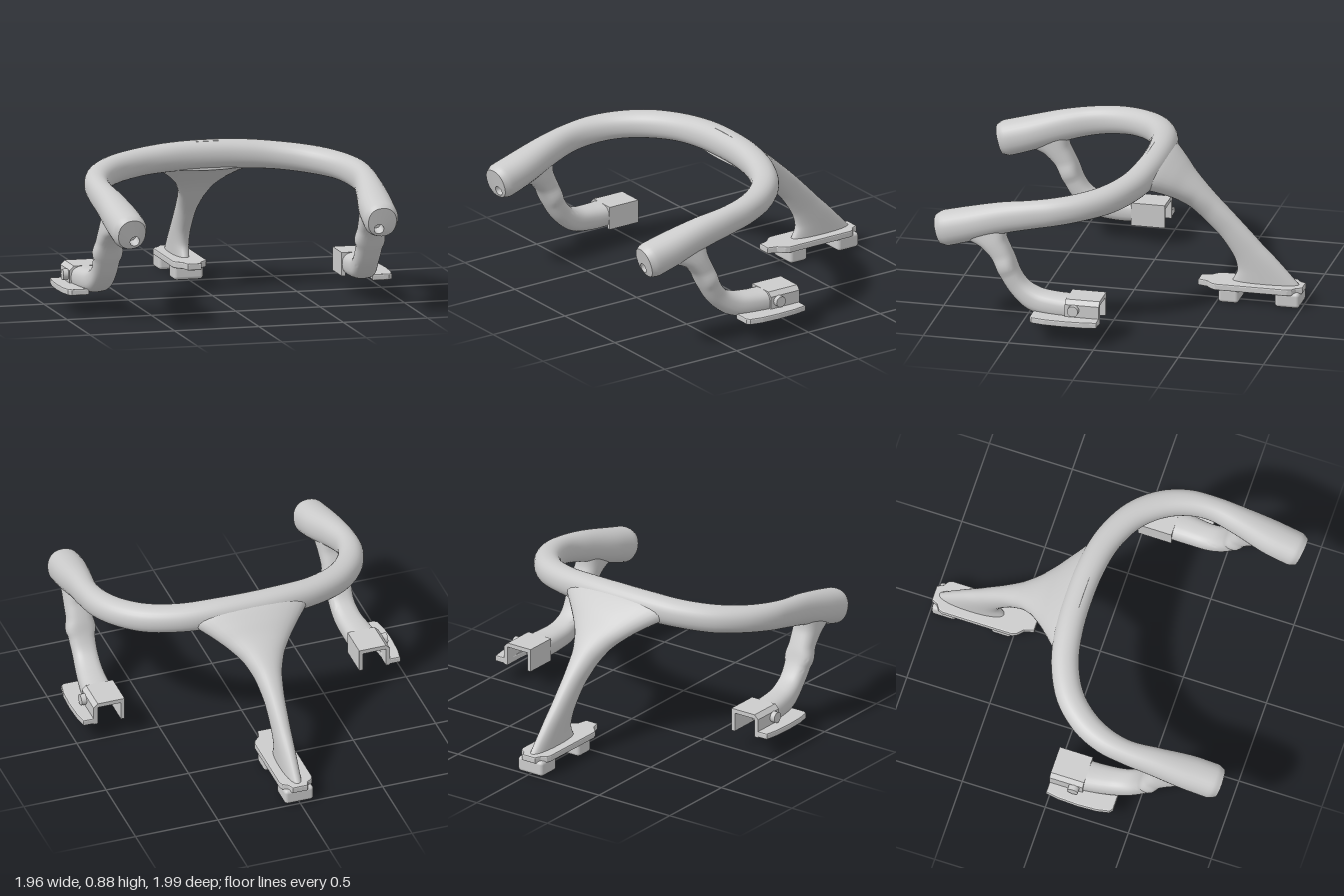
import * as THREE from 'three';
import { toCreasedNormals } from 'three/addons/utils/BufferGeometryUtils.js';
import { RoundedBoxGeometry } from 'three/addons/geometries/RoundedBoxGeometry.js';

const V = (x, y, z) => new THREE.Vector3(x, y, z);
const material = new THREE.MeshStandardMaterial({ color: 0xcccccc });

function part(name, geometry, x = 0, y = 0, z = 0) {
  const mesh = new THREE.Mesh(geometry, material);
  mesh.name = name;
  mesh.position.set(x, y, z);
  return mesh;
}

// Interpolates key sections { c: centre, u: half width vector, v: half height vector }
function smooth(sections, count) {
  const curve = (key) => new THREE.CatmullRomCurve3(sections.map((s) => s[key]));
  const c = curve('c'), u = curve('u'), v = curve('v');
  return Array.from({ length: count + 1 }, (_, i) => {
    const t = i / count;
    return { c: c.getPoint(t), u: u.getPoint(t), v: v.getPoint(t) };
  });
}

// Skins a list of sections with rounded outlines and closes both ends
function loft(rings, power = 0.9, sides = 28) {
  const points = [], index = [];
  for (const { c, u, v } of rings) {
    for (let i = 0; i < sides; i++) {
      const a = (i / sides) * Math.PI * 2, p = Math.cos(a), q = Math.sin(a);
      points.push(c.clone()
        .addScaledVector(u, Math.sign(p) * Math.abs(p) ** power)
        .addScaledVector(v, Math.sign(q) * Math.abs(q) ** power));
    }
  }
  const last = (rings.length - 1) * sides;
  const start = points.push(rings[0].c) - 1, end = points.push(rings.at(-1).c) - 1;
  for (let i = 0; i < sides; i++) {
    const j = (i + 1) % sides;
    for (let r = 0; r < last; r += sides) {
      index.push(r + i, r + j, r + sides + i, r + j, r + sides + j, r + sides + i);
    }
    index.push(start, j, i, end, last + i, last + j);
  }
  // Turn the faces outward if the skin came out inside out
  let volume = 0;
  for (let k = 0; k < index.length; k += 3) {
    volume += points[index[k]].dot(points[index[k + 1]].clone().cross(points[index[k + 2]]));
  }
  if (volume < 0) index.reverse();
  const geometry = new THREE.BufferGeometry().setFromPoints(points);
  geometry.setIndex(index);
  return toCreasedNormals(geometry, 0.7);
}

// Section between an upper and a lower edge point of a side profile
function profileSection([z1, y1, z2, y2, w, x = 0]) {
  return {
    c: V(x, (y1 + y2) / 2, (z1 + z2) / 2),
    u: V(w, 0, 0),
    v: V(0, (y1 - y2) / 2, (z1 - z2) / 2),
  };
}

// Flat plate from a plan outline of [x, z] points, with its top at y
function plate(name, outline, y, thickness, bevel = 0.008) {
  const shape = new THREE.Shape(outline.map(([x, z]) => new THREE.Vector2(x, z)));
  const geometry = new THREE.ExtrudeGeometry(shape, {
    depth: thickness - 2 * bevel, bevelSize: bevel, bevelOffset: -bevel,
    bevelThickness: bevel, bevelSegments: 2,
  });
  geometry.rotateX(Math.PI / 2);
  return part(name, geometry, 0, y - bevel, 0);
}

function createHoop() {
  // x, y, z, half width, half height, from the crown to the front end
  const half = [
    [0, 0.8, -0.13, 0.08, 0.085], [0.2, 0.797, -0.12, 0.08, 0.084],
    [0.4, 0.785, -0.08, 0.08, 0.08], [0.58, 0.768, 0.01, 0.08, 0.08],
    [0.7, 0.752, 0.14, 0.078, 0.078], [0.763, 0.733, 0.28, 0.073, 0.08],
    [0.782, 0.71, 0.42, 0.068, 0.083], [0.772, 0.676, 0.58, 0.08, 0.09],
    [0.752, 0.61, 0.8, 0.1, 0.1], [0.745, 0.575, 0.92, 0.1, 0.103],
    [0.742, 0.563, 0.965, 0.082, 0.088],
  ];
  const keys = [...half.slice(1).reverse().map(([x, ...r]) => [-x, ...r]), ...half];
  const path = new THREE.CatmullRomCurve3(keys.map(([x, y, z]) => V(x, y, z)));
  const sections = keys.map(([x, y, z, w, h], i) => {
    const tangent = path.getTangent(i / (keys.length - 1));
    const side = V(-tangent.z, 0, tangent.x).normalize();
    const up = side.clone().cross(tangent).normalize();
    return { c: V(x, y, z), u: side.multiplyScalar(w), v: up.multiplyScalar(h) };
  });
  const rings = smooth(sections, 100);
  // Blind screw hole sunk into each front end
  const hole = (ring) => {
    const c = ring.c.clone().add(V(-0.018 * Math.sign(ring.c.x), -0.04, -0.008));
    const rim = {
      c,
      u: ring.u.clone().setLength(0.028),
      v: ring.v.clone().setLength(0.028),
    };
    return [rim, { ...rim, c: c.clone().add(V(0, 0.02, -0.07)) }];
  };
  const first = hole(rings[0]).reverse(), last = hole(rings.at(-1));
  return part('hoop', loft([...first, ...rings, ...last]));
}

function createRearStem() {
  // Upper z, y, lower z, y, half width: wide web narrowing to a thin strut
  const sections = [
    [-0.10, 0.882, -0.08, 0.715, 0.38], [-0.18, 0.855, -0.15, 0.69, 0.34],
    [-0.26, 0.80, -0.21, 0.655, 0.265], [-0.33, 0.74, -0.28, 0.61, 0.19],
    [-0.41, 0.675, -0.345, 0.555, 0.125], [-0.50, 0.595, -0.42, 0.475, 0.08],
    [-0.62, 0.48, -0.51, 0.38, 0.057], [-0.75, 0.345, -0.59, 0.26, 0.05],
    [-0.86, 0.235, -0.608, 0.18, 0.048], [-0.985, 0.1, -0.57, 0.1, 0.046],
  ].map(profileSection);
  return part('rearStem', loft(smooth(sections, 50)));
}

function createRearFoot() {
  const foot = new THREE.Group();
  foot.name = 'rearFoot';
  const side = [[0.04, -0.385], [0.055, -0.44], [0.09, -0.475], [0.1, -0.5],
    [0.1, -0.92], [0.09, -0.945], [0.06, -0.965], [0.045, -1]];
  const outline = [...side, ...side.map(([x, z]) => [-x, z]).reverse()];
  foot.add(plate('rearFootPlate', outline, 0.117, 0.04));
  for (const [z, length] of [[-0.572, 0.12], [-0.917, 0.145]]) {
    foot.add(part('rearFootPad', new RoundedBoxGeometry(0.175, 0.09, length, 3, 0.02), 0, 0.045, z));
  }
  return foot;
}

function createSideLeg(s) {
  const leg = new THREE.Group();
  leg.name = s > 0 ? 'leftLeg' : 'rightLeg';
  // Rear edge z, y, front edge z, y, half width, x
  const sections = [
    [0.57, 0.64, 0.80, 0.53, 0.07, 0.765], [0.565, 0.55, 0.71, 0.495, 0.075, 0.772],
    [0.525, 0.46, 0.645, 0.43, 0.076, 0.776], [0.49, 0.37, 0.595, 0.33, 0.076, 0.778],
    [0.44, 0.30, 0.53, 0.23, 0.072, 0.778], [0.37, 0.265, 0.43, 0.145, 0.075, 0.785],
    [0.27, 0.252, 0.30, 0.118, 0.082, 0.797], [0.16, 0.25, 0.16, 0.115, 0.09, 0.806],
  ].map(([z1, y1, z2, y2, w, x]) => profileSection([z1, y1, z2, y2, w, x * s]));
  leg.add(part('legStrut', loft(smooth(sections, 40), 0.75)));

  // Channel open at the rear and below
  const profile = [[0.712, 0.113], [0.712, 0.25], [0.875, 0.25], [0.9, 0.225],
    [0.9, 0.113], [0.875, 0.113], [0.875, 0.225], [0.735, 0.225], [0.735, 0.113]];
  const shape = new THREE.Shape(profile.map(([x, y]) => new THREE.Vector2(x * s, y)));
  const channel = new THREE.ExtrudeGeometry(shape, { depth: 0.2, bevelEnabled: false });
  leg.add(part('footChannel', channel, 0, 0, -0.008));

  // Outer flange with a bowed edge
  const flange = [[0.88, -0.008], [0.962, -0.008], [0.975, 0.07], [0.98, 0.19],
    [0.975, 0.3], [0.96, 0.375], [0.94, 0.39], [0.84, 0.39]];
  leg.add(plate('footFlange', flange.map(([x, z]) => [x * s, z]), 0.152, 0.037));

  // Screw boss on the outer wall
  const boss = new THREE.CylinderGeometry(0.032, 0.032, 0.04, 20);
  boss.rotateZ(Math.PI / 2);
  leg.add(part('screwBoss', boss, 0.91 * s, 0.195, 0.14));
  return leg;
}

export function createModel() {
  const model = new THREE.Group();
  model.name = 'guardHoop';
  model.add(createHoop(), createRearStem(), createRearFoot());
  for (const s of [1, -1]) model.add(createSideLeg(s));
  return model;
}
